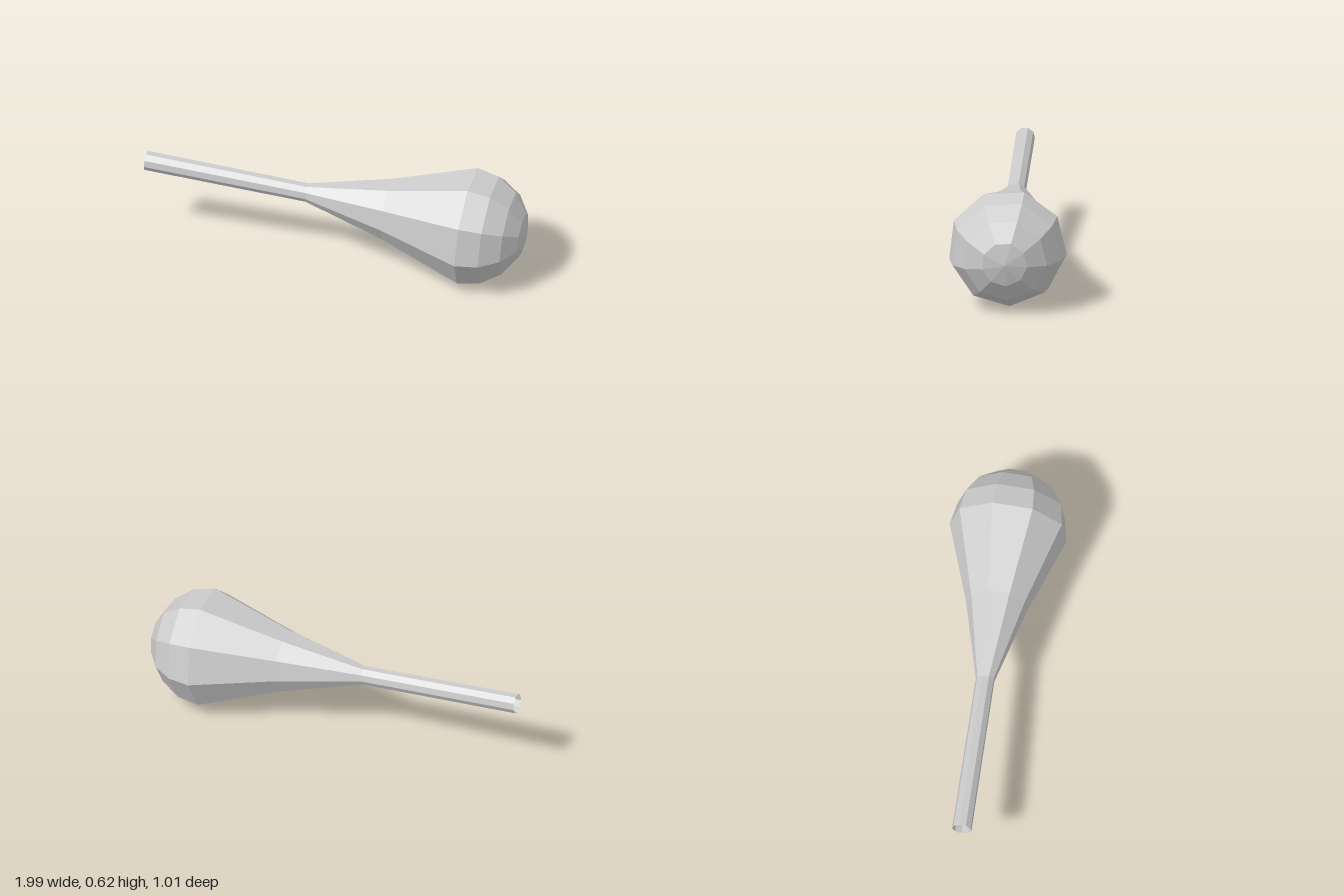
import * as THREE from 'three';

export function createModel() {
  const group = new THREE.Group();
  group.name = 'club';

  const sides = 9;
  const neck = 0.889, bulb = 1.783, bulbRadius = 0.32; // distances along the axis
  const material = new THREE.MeshStandardMaterial({
    color: 0xcccccc, flatShading: true, side: THREE.DoubleSide,
  });

  // Lathe parts share one tilted axis, running from the open handle end to the tip
  const axis = new THREE.Vector3(0.928, -0.077, -0.364).normalize();
  const down = new THREE.Vector3(0, -1, -0.06).projectOnPlane(axis).normalize();
  const across = new THREE.Vector3().crossVectors(axis, down);
  const placement = new THREE.Matrix4()
    .makeBasis(across, axis, down)
    .setPosition(-0.98, 0.463, 0.457);

  function addPart(name, profile) {
    const points = profile.map(([r, t]) => new THREE.Vector2(r, t));
    const geometry = new THREE.LatheGeometry(points, sides).applyMatrix4(placement);
    const mesh = new THREE.Mesh(geometry, material);
    mesh.name = name;
    group.add(mesh);
  }

  // Straight hollow grip
  addPart('handle', [[0.053, 0], [0.051, neck]]);

  // Flare widening from the neck
  addPart('flare', [[0.051, neck], [0.168, 1.336], [bulbRadius, bulb]]);

  // Rounded end: a faceted hemisphere
  const dome = [];
  for (let i = 0; i <= 4; i++) {
    const a = (i / 4) * Math.PI / 2;
    dome.push([i === 4 ? 0 : bulbRadius * Math.cos(a), bulb + bulbRadius * Math.sin(a)]);
  }
  addPart('roundedEnd', dome);

  return group;
}
